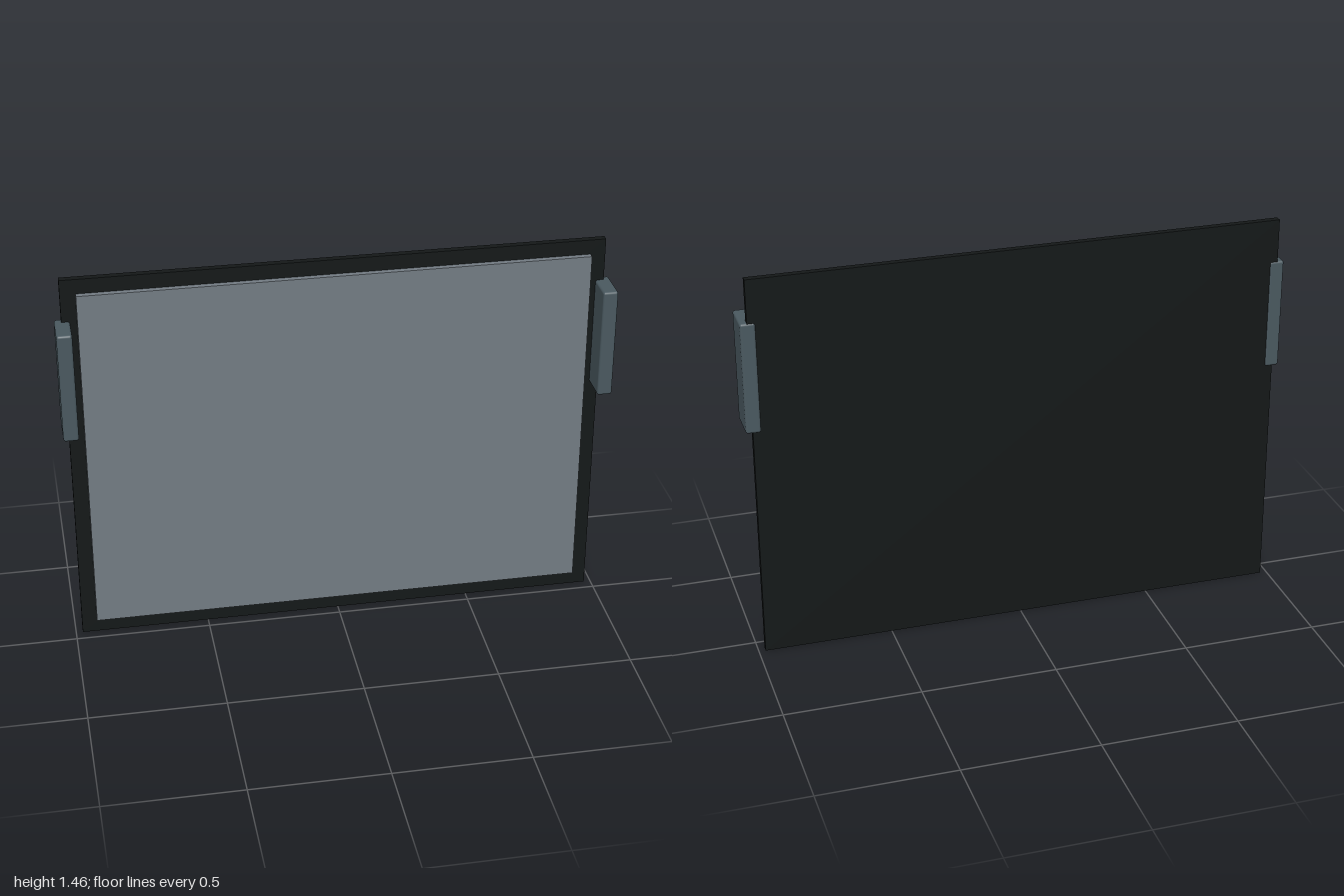
import * as THREE from 'three';
import { RoundedBoxGeometry } from 'three/addons/geometries/RoundedBoxGeometry.js';

const mat = (color) => new THREE.MeshStandardMaterial({ color });

// Mesh placed by its minimum and maximum corners, with optional rounded edges
function block(name, min, max, material, radius = 0) {
  const size = max.map((v, i) => v - min[i]);
  const geometry = radius
    ? new RoundedBoxGeometry(...size, 3, radius)
    : new THREE.BoxGeometry(...size);
  const mesh = new THREE.Mesh(geometry, material);
  mesh.name = name;
  mesh.position.set(...max.map((v, i) => (v + min[i]) / 2));
  return mesh;
}

export function createModel() {
  const group = new THREE.Group();
  group.name = 'wallPanel';

  // Dark backing board, whose rim shows as a border
  group.add(block('backBoard', [-0.975, 0, -0.066], [0.975, 1.46, -0.041], mat(0x141818)));

  // Raised grey front panel
  group.add(block('frontPanel', [-0.92, 0.06, -0.042], [0.92, 1.405, -0.019], mat(0x737c83)));

  // Rounded grips wrapping both side edges
  const gripMaterial = mat(0x4a5960);
  for (const side of [-1, 1]) {
    const grip = block('grip', [0.945, 0.885, -0.069], [1, 1.3, 0.069], gripMaterial, 0.009);
    grip.name = side > 0 ? 'leftGrip' : 'rightGrip';
    grip.position.x *= side;
    group.add(grip);
  }

  return group;
}
